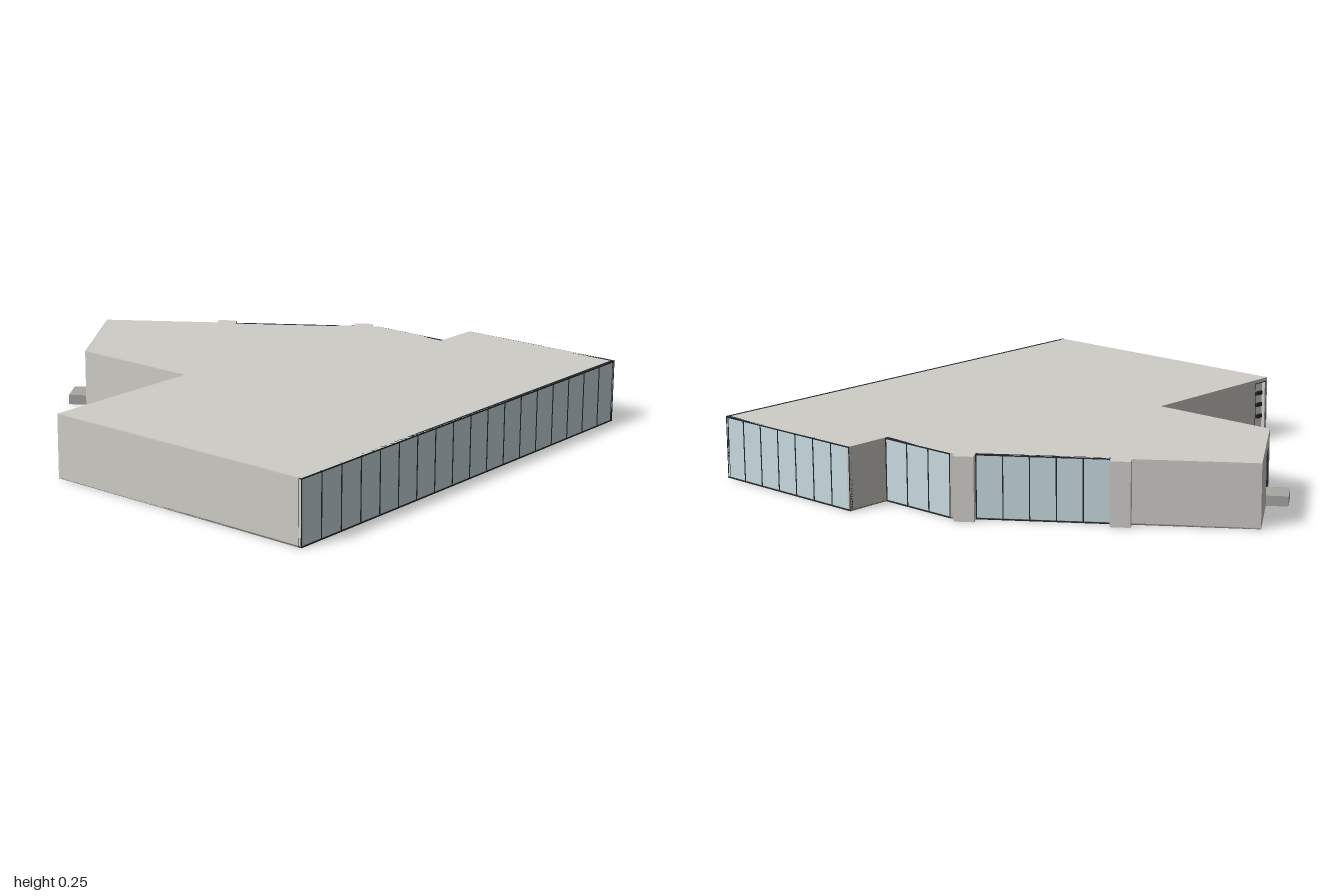
import * as THREE from 'three';

const H = 0.25;
const SLAB = 0.006;
const material = (color) => new THREE.MeshStandardMaterial({ color });
const MAT = {
  roof: material(0xcfcdc8), wall: material(0xcccac5), floor: material(0x777570),
  glass: material(0xc8dadf), frame: material(0x22282b), step: material(0xa8a6a2),
  door: material(0xdddcd8),
};

// Plan outline as [x, z], walked front, right, back, left
const OUTLINE = [
  [-0.98, 1], [0.98, 1], [0.98, 0.29], [0.795, 0.29], [0.795, -0.055],
  [0.14, -1], [-0.285, -0.71], [-0.285, -0.165], [-0.98, -0.165],
];

// Group lying along one outline edge: local x runs along it, local z points outward
function side(name, i) {
  const [ax, az] = OUTLINE[i];
  const [bx, bz] = OUTLINE[(i + 1) % OUTLINE.length];
  const group = new THREE.Group();
  group.name = name;
  group.position.set(ax, 0, az);
  group.rotation.y = Math.atan2(az - bz, bx - ax);
  group.userData.length = Math.hypot(bx - ax, bz - az);
  return group;
}

// Box given by its ranges along, up and outward
function block(parent, name, mat, [x0, x1], [y0, y1], [z0, z1]) {
  const mesh = new THREE.Mesh(new THREE.BoxGeometry(x1 - x0, y1 - y0, z1 - z0), mat);
  mesh.position.set((x0 + x1) / 2, (y0 + y1) / 2, (z0 + z1) / 2);
  mesh.name = name;
  parent.add(mesh);
}

// Glass front split into equal panels by thin dark mullions
function glazing(parent, x0, x1, panels) {
  block(parent, 'glass', MAT.glass, [x0, x1], [SLAB, H - SLAB], [-0.01, -0.001]);
  for (const y of [0, H - 0.005])
    block(parent, 'rail', MAT.frame, [x0, x1], [y, y + 0.005], [-0.012, 0.002]);
  for (let i = 0; i <= panels; i++) {
    const x = THREE.MathUtils.lerp(x0 + 0.002, x1 - 0.002, i / panels);
    block(parent, 'mullion', MAT.frame, [x - 0.002, x + 0.002], [0, H], [-0.012, 0.001]);
  }
}

// Solid wall between two points along an edge
function wall(parent, x0, x1, y0 = 0) {
  block(parent, 'wall', MAT.wall, [x0, x1], [y0, H], [-0.015, 0]);
}

// Wall with a recessed door between d0 and d1
function wallWithDoor(parent, d0, d1, height, depth) {
  wall(parent, 0, d0);
  wall(parent, d1, parent.userData.length);
  wall(parent, d0, d1, height);
  block(parent, 'door', MAT.door, [d0, d1], [0, height], [-depth - 0.01, -depth]);
  for (const x of [d0, d1 - 0.003])
    block(parent, 'doorJamb', MAT.frame, [x, x + 0.003], [0, height], [-depth, 0]);
  block(parent, 'doorLintel', MAT.frame, [d0, d1], [height - 0.003, height], [-depth, 0]);
}

// Horizontal slab over the whole plan
function slab(name, mat, y) {
  const shape = new THREE.Shape(OUTLINE.map(([x, z]) => new THREE.Vector2(x, -z)));
  const geometry = new THREE.ExtrudeGeometry(shape, { depth: SLAB, bevelEnabled: false });
  const mesh = new THREE.Mesh(geometry.rotateX(-Math.PI / 2), mat);
  mesh.position.y = y;
  mesh.name = name;
  return mesh;
}

export function createModel() {
  const model = new THREE.Group();
  model.name = 'building';
  model.add(slab('floor', MAT.floor, 0), slab('roof', MAT.roof, H - SLAB));

  // Glazed sides: edge index and number of panels
  for (const [name, edge, panels] of [['frontGlazing', 0, 18], ['sideGlazing', 1, 7], ['innerGlazing', 3, 3]]) {
    const s = side(name, edge);
    glazing(s, 0, s.userData.length, panels);
    model.add(s);
  }

  // Plain solid walls
  for (const [name, edge] of [['stepBackWall', 2], ['notchWall', 6], ['leftWall', 8]]) {
    const s = side(name, edge);
    wall(s, 0, s.userData.length);
    model.add(s);
  }

  // Slanted side: glazing between two pillars, then a solid wall
  const slant = side('slantedSide', 4);
  wall(slant, 0, 0.02);
  glazing(slant, 0.095, 0.597, 5);
  wall(slant, 0.67, slant.userData.length);
  for (const x of [0.017, 0.597])
    block(slant, 'pillar', MAT.roof, [x, x + 0.078], [0, H], [-0.03, 0.041]);
  model.add(slant);

  // Rear wall with a door and its step
  const rear = side('rearWall', 5);
  const end = rear.userData.length;
  wallWithDoor(rear, end - 0.203, end - 0.077, 0.2, 0.012);
  block(rear, 'doorStep', MAT.step, [end - 0.203, end - 0.077], [0, 0.04], [-0.01, 0.086]);
  model.add(rear);

  // Back wall of the left wing with a corner door and its dark fittings
  const wing = side('wingBackWall', 7);
  wallWithDoor(wing, 0.615, 0.688, 0.235, 0.015);
  for (const y of [0.08, 0.13, 0.18])
    block(wing, 'doorFitting', MAT.frame, [0.635, 0.67], [y, y + 0.015], [-0.015, -0.004]);
  model.add(wing);

  return model;
}
